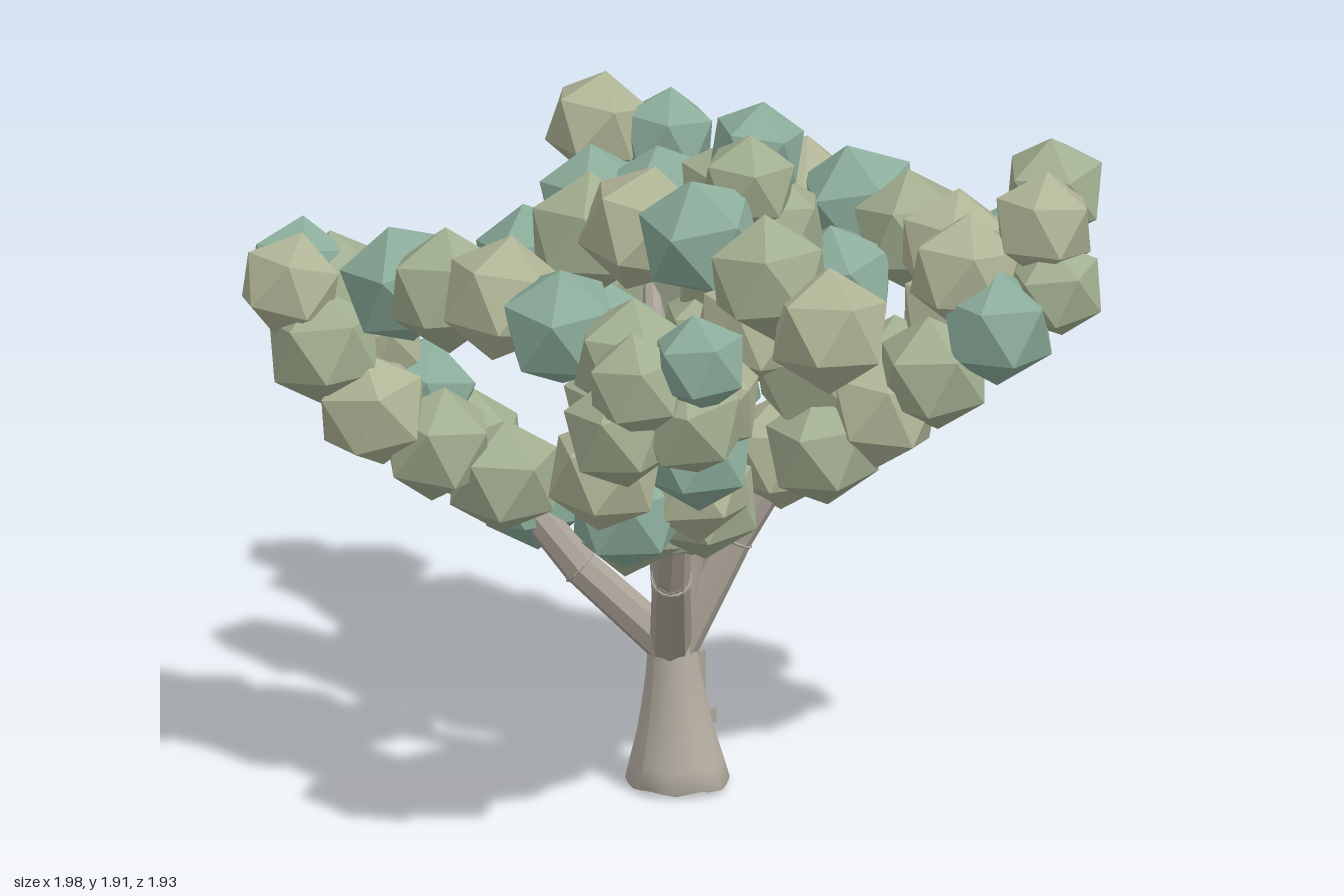
import * as THREE from 'three';

const mat = (color, flatShading) => new THREE.MeshStandardMaterial({ color, flatShading, roughness: 0.9 });

// Leaf balls per bough: [x, y, z, colour index, radius (default 0.166)]
const BOUGHS = {
  frontLeft: [
    [-0.30, 0.81, 0.21, 0, 0.15], [-0.42, 0.95, 0.33, 1], [-0.52, 1.10, 0.43, 0], [-0.60, 1.26, 0.54, 2],
    [-0.66, 1.40, 0.60, 1], [-0.72, 1.46, 0.69, 0, 0.15],
    [-0.23, 0.92, 0.38, 1], [-0.33, 1.02, 0.53, 1], [-0.43, 1.13, 0.68, 2], [-0.53, 1.30, 0.77, 1], [-0.61, 1.47, 0.82, 2, 0.15]],
  frontRight: [
    [0.29, 0.92, 0.22, 1], [0.42, 0.97, 0.24, 1], [0.52, 1.07, 0.36, 2], [0.62, 1.20, 0.44, 0],
    [0.76, 1.41, 0.54, 2], [0.80, 1.38, 0.63, 1], [0.87, 1.56, 0.66, 0, 0.14],
    [0.27, 0.92, 0.37, 1], [0.42, 1.00, 0.52, 0], [0.54, 1.18, 0.71, 2], [0.66, 1.34, 0.76, 1], [0.74, 1.49, 0.77, 1, 0.15]],
  backLeft: [
    [-0.26, 0.87, -0.29, 0, 0.15], [-0.41, 0.95, -0.21, 1], [-0.55, 1.11, -0.27, 0], [-0.67, 1.24, -0.39, 1],
    [-0.77, 1.40, -0.45, 0], [-0.86, 1.58, -0.54, 2, 0.15],
    [-0.35, 1.02, -0.44, 2], [-0.44, 1.18, -0.56, 1], [-0.52, 1.34, -0.65, 2], [-0.60, 1.42, -0.54, 0], [-0.72, 1.55, -0.67, 0, 0.14]],
  backRight: [
    [0.23, 0.97, -0.22, 2], [0.40, 1.02, -0.22, 1], [0.51, 1.13, -0.34, 2], [0.64, 1.25, -0.41, 1],
    [0.78, 1.39, -0.52, 0], [0.66, 1.52, -0.51, 2], [0.84, 1.48, -0.68, 1, 0.14], [0.79, 1.65, -0.68, 2, 0.15],
    [0.27, 1.04, -0.38, 0], [0.38, 1.17, -0.51, 1], [0.50, 1.34, -0.62, 2], [0.25, 1.42, -0.42, 0],
    [0.56, 1.50, -0.74, 0, 0.14], [0.54, 1.55, -0.58, 2], [0.68, 1.70, -0.82, 1, 0.15]],
  crown: [
    [0.06, 1.04, 0.0, 1], [0.17, 1.20, 0.0, 0], [0.03, 1.26, -0.16, 1], [0.23, 1.34, -0.12, 2], [0.33, 1.22, -0.24, 1],
    [0.04, 1.44, -0.22, 1], [0.15, 1.58, -0.26, 1], [0.18, 1.74, -0.15, 1, 0.14], [0.07, 1.78, -0.28, 0, 0.14]],
  frontRow: [
    [-0.37, 1.49, 0.63, 0, 0.175], [-0.15, 1.53, 0.66, 1, 0.175], [0.07, 1.56, 0.66, 2, 0.175],
    [0.30, 1.53, 0.65, 0, 0.175], [0.53, 1.48, 0.60, 1, 0.175]],
  middleRow: [
    [-0.53, 1.38, 0.0, 0], [-0.28, 1.52, 0.02, 1, 0.178], [-0.07, 1.59, 0.02, 2, 0.178], [0.19, 1.63, 0.04, 0, 0.178],
    [0.45, 1.57, 0.02, 1, 0.178], [0.66, 1.46, -0.01, 2, 0.175]],
  backRow: [
    [-0.37, 1.48, -0.61, 1, 0.175], [-0.16, 1.52, -0.64, 2, 0.175], [0.07, 1.55, -0.66, 0, 0.175], [0.32, 1.53, -0.63, 1, 0.175]],
};

// Limb paths from the fork into the foliage
const LIMBS = {
  frontLeftLimb: [[0.05, 0.41, 0.01], [-0.14, 0.64, 0.18], [-0.32, 0.92, 0.33], [-0.56, 1.32, 0.65]],
  frontRightLimb: [[0.04, 0.41, 0.01], [0.25, 0.70, 0.2], [0.38, 0.95, 0.3], [0.72, 1.4, 0.64]],
  backLeftLimb: [[0.05, 0.41, 0], [-0.14, 0.68, -0.14], [-0.30, 0.92, -0.25], [-0.62, 1.34, -0.52]],
  backRightLimb: [[0.05, 0.41, 0], [0.14, 0.72, -0.13], [0.25, 0.98, -0.25], [0.64, 1.44, -0.58]],
  centreLimb: [[0.05, 0.41, 0], [0.08, 0.86, -0.02], [0.12, 1.2, -0.04], [0.14, 1.6, -0.1]],
};

function createLimb(name, points, material) {
  const limb = new THREE.Group();
  limb.name = name;
  const p = points.map((a) => new THREE.Vector3(...a));
  const up = new THREE.Vector3(0, 1, 0);
  const radii = [0.058, 0.052, 0.04, 0.022];
  for (let i = 0; i < p.length - 1; i++) {
    const dir = p[i + 1].clone().sub(p[i]);
    const segment = new THREE.Mesh(
      new THREE.CylinderGeometry(radii[i + 1], radii[i], dir.length() + 0.02, 8), material);
    segment.name = 'limbSegment';
    segment.position.copy(p[i]).addScaledVector(dir, 0.5);
    segment.quaternion.setFromUnitVectors(up, dir.normalize());
    limb.add(segment);
    // Raised collar at the first joint
    if (i === 0) {
      const collar = new THREE.Mesh(new THREE.TorusGeometry(0.053, 0.004, 5, 16).rotateX(Math.PI / 2), material);
      collar.name = 'limbCollar';
      collar.position.copy(p[1]);
      collar.quaternion.copy(segment.quaternion);
      limb.add(collar);
    }
  }
  return limb;
}

function createTrunk(material) {
  const profile = [[0, 0.012], [0.12, 0.01], [0.142, 0.018], [0.128, 0.08], [0.108, 0.16], [0.092, 0.24],
    [0.077, 0.33], [0.068, 0.41], [0.06, 0.47], [0, 0.49]].map(([r, y]) => new THREE.Vector2(r, y));
  const geometry = new THREE.LatheGeometry(profile, 24);
  const pos = geometry.attributes.position;
  // Lean the trunk and ripple its foot
  for (let i = 0; i < pos.count; i++) {
    const x = pos.getX(i), y = pos.getY(i), z = pos.getZ(i);
    const foot = Math.max(0, 1 - y / 0.15);
    const a = Math.atan2(x, z);
    const s = 1 + 0.03 * foot * Math.sin(5 * a);
    const lift = 0.006 * foot * Math.sin(6 * a) * Math.min(1, Math.hypot(x, z) / 0.12);
    pos.setXYZ(i, x * s + 0.01 + y * 0.075, y + lift, z * s - 0.045 + y * 0.12);
  }
  geometry.computeVertexNormals();
  const trunk = new THREE.Mesh(geometry, material);
  trunk.name = 'trunk';
  return trunk;
}

export function createModel() {
  const tree = new THREE.Group();
  tree.name = 'tree';
  const bark = mat(0xb8b1a5, false);
  const limbBark = mat(0xaaa297, true);
  const leaves = [0x8bac9b, 0xa2ae90, 0xb0b496].map((c) => mat(c, true));

  tree.add(createTrunk(bark));

  // Loose bark flakes on the back of the trunk
  [[0.06, 0.33, -0.08, 0.12], [-0.02, 0.27, -0.095, 0.05], [0.07, 0.2, -0.11, 0.04]].forEach(([x, y, z, h]) => {
    const flake = new THREE.Mesh(new THREE.BoxGeometry(0.014, h, 0.03), limbBark);
    flake.name = 'barkFlake';
    flake.position.set(x, y, z);
    tree.add(flake);
  });

  for (const [name, points] of Object.entries(LIMBS)) tree.add(createLimb(name, points, limbBark));

  // Faceted leaf balls standing on a corner, each turned and tilted a little differently
  const unit = new THREE.IcosahedronGeometry(1, 0).rotateX(-Math.atan((1 + Math.sqrt(5)) / 2));
  let n = 0;
  for (const [name, balls] of Object.entries(BOUGHS)) {
    const bough = new THREE.Group();
    bough.name = name + 'Foliage';
    for (const [x, y, z, colour, r = 0.166] of balls) {
      const ball = new THREE.Mesh(unit, leaves[colour]);
      ball.name = 'leafBall';
      ball.position.set(x, y, z);
      ball.scale.setScalar(r);
      ball.rotation.set(0.15 * Math.sin(n * 2.4), n * 1.7, 0.15 * Math.cos(n * 3.1));
      n++;
      bough.add(ball);
    }
    tree.add(bough);
  }
  return tree;
}
